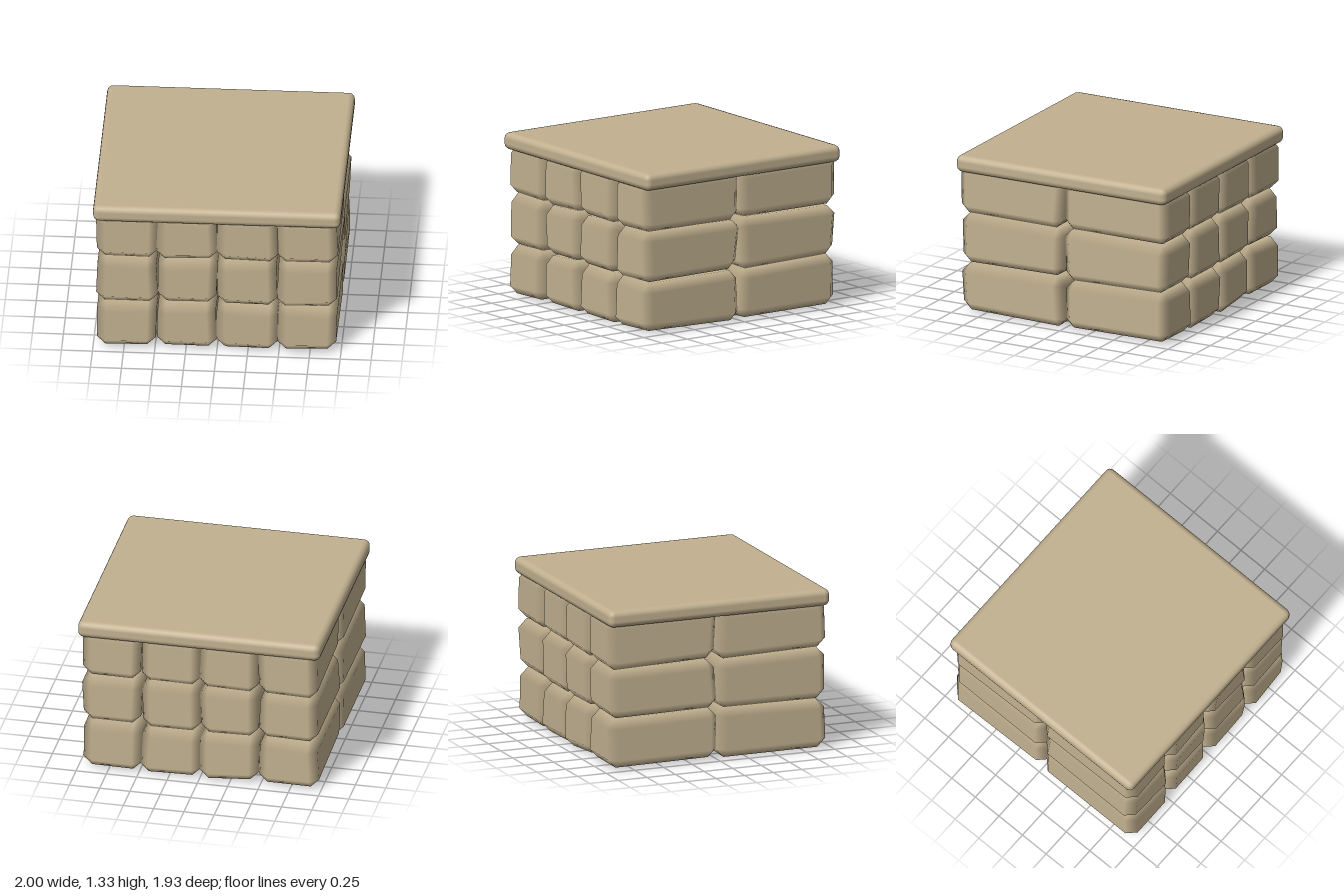
import * as THREE from 'three';
import { ConvexGeometry } from 'three/addons/geometries/ConvexGeometry.js';
import { RoundedBoxGeometry } from 'three/addons/geometries/RoundedBoxGeometry.js';

const AXES = ['x', 'y', 'z'];

// Small seeded generator, returns -1..1
function makeRandom(seed) {
  return () => {
    seed = (seed * 16807) % 2147483647;
    return (seed / 2147483647) * 2 - 1;
  };
}

// Chamfered block with soft edges and slightly uneven corners
function blockGeometry(size, bevel, jitter, random) {
  const half = size.clone().multiplyScalar(0.5);
  const points = [];
  for (const axis of AXES)
    for (const sx of [-1, 1]) for (const sy of [-1, 1]) for (const sz of [-1, 1]) {
      const p = half.clone().subScalar(bevel);
      p[axis] = half[axis];
      points.push(p.multiply(new THREE.Vector3(sx, sy, sz)));
    }
  const geometry = new ConvexGeometry(points);
  const offsets = Array.from({ length: 8 }, () =>
    new THREE.Vector3(random(), random(), random()).multiplyScalar(jitter));
  const pos = geometry.attributes.position;
  const nor = geometry.attributes.normal;
  const p = new THREE.Vector3();
  for (let i = 0; i < pos.count; i++) {
    p.fromBufferAttribute(pos, i);
    // Each point takes the normal of the main face it borders
    const n = new THREE.Vector3();
    for (const axis of AXES)
      if (Math.abs(p[axis]) > half[axis] - bevel / 2) n[axis] = Math.sign(p[axis]);
    n.normalize();
    nor.setXYZ(i, n.x, n.y, n.z);
    // The three points of one corner shift together
    p.add(offsets[(p.x > 0 ? 1 : 0) + (p.y > 0 ? 2 : 0) + (p.z > 0 ? 4 : 0)]);
    pos.setXYZ(i, p.x, p.y, p.z);
  }
  return geometry;
}

export function createModel() {
  const model = new THREE.Group();
  model.name = 'stonePlatform';
  const stone = new THREE.MeshStandardMaterial({ color: 0xc2b190 });
  stone.name = 'sandstone';
  const random = makeRandom(4711);

  // Stacked blocks: three courses, four across, two deep
  const blocks = new THREE.Group();
  blocks.name = 'stoneBlocks';
  const size = new THREE.Vector3(0.482, 0.41, 0.95);
  for (let row = 0; row < 3; row++)
    for (let column = 0; column < 4; column++)
      for (let layer = 0; layer < 2; layer++) {
        const block = new THREE.Mesh(blockGeometry(size, 0.07, 0.011, random), stone);
        block.name = `block${row + 1}_${column + 1}_${layer + 1}`;
        block.position.set((column - 1.5) * 0.485, 0.216 + row * 0.412, (layer - 0.5) * 0.955);
        blocks.add(block);
      }
  model.add(blocks);

  // Overhanging top slab
  const slab = new THREE.Mesh(new RoundedBoxGeometry(2, 0.14, 1.935, 2, 0.05), stone);
  slab.name = 'topSlab';
  slab.position.y = 1.265;
  model.add(slab);

  return model;
}
